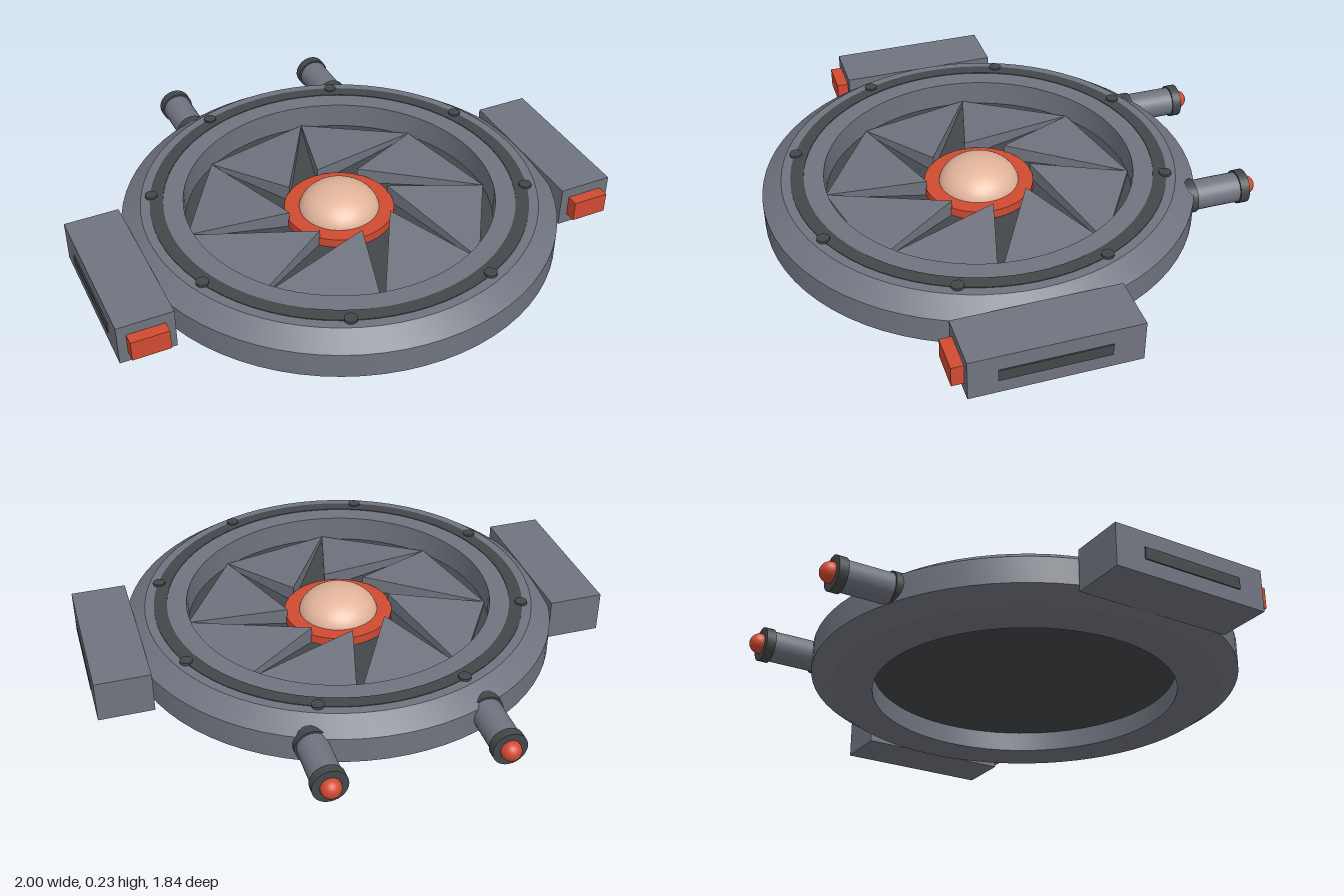
import * as THREE from 'three';
import { toCreasedNormals } from 'three/addons/utils/BufferGeometryUtils.js';

const material = (name, color) => {
  const m = new THREE.MeshStandardMaterial({ color });
  m.name = name;
  return m;
};

export function createModel() {
  const body = material('slate grey', 0x70747f);
  const dark = material('dark trim', 0x43474a);
  const red = material('signal red', 0xd04a32);
  const peach = material('peach lens', 0xe2b49b);

  const model = new THREE.Group();
  model.name = 'irisDevice';
  const disc = new THREE.Group();
  disc.name = 'irisDisc';
  disc.position.z = 0.09;
  model.add(disc);

  const add = (parent, name, geometry, mat, x = 0, y = 0, z = 0) => {
    const mesh = new THREE.Mesh(geometry, mat);
    mesh.name = name;
    mesh.position.set(x, y, z);
    parent.add(mesh);
    return mesh;
  };
  const lathe = (points, segments = 72) => toCreasedNormals(
    new THREE.LatheGeometry(points.map(([r, y]) => new THREE.Vector2(r, y)), segments), 0.4);

  // Chamfered outer ring with an open centre
  add(disc, 'outerRing', lathe([
    [0.59, 0], [0.75, 0], [0.825, 0.05], [0.825, 0.15], [0.75, 0.203], [0.59, 0.203], [0.59, 0],
  ]), body);
  add(disc, 'ringBand', lathe([
    [0.665, 0.2], [0.715, 0.2], [0.715, 0.206], [0.665, 0.206], [0.665, 0.2],
  ]), dark);
  add(disc, 'floor', new THREE.CylinderGeometry(0.592, 0.592, 0.02, 72), dark, 0, 0.09, 0);

  // Bolts around the band
  const boltGeometry = new THREE.CylinderGeometry(0.024, 0.024, 0.02, 12);
  for (let i = 0; i < 8; i++) {
    const a = (i + 0.5) * Math.PI / 4;
    add(disc, 'bolt', boltGeometry, dark, 0.71 * Math.cos(a), 0.203, 0.71 * Math.sin(a));
  }

  // Iris blades: wedges rising from the rim to a raised inner tip
  const polar = (degrees, r, y) => {
    const a = THREE.MathUtils.degToRad(degrees);
    return [r * Math.cos(a), y, r * Math.sin(a)];
  };
  const top = [polar(10, 0.588, 0.115), polar(1, 0.205, 0.165), polar(55, 0.588, 0.115)];
  const base = top.map(([x, , z]) => [x, 0.1, z]);
  const corners = [...top];
  for (let i = 0; i < 3; i++) {
    const j = (i + 1) % 3;
    corners.push(base[i], base[j], top[j], base[i], top[j], top[i]);
  }
  const bladeGeometry = new THREE.BufferGeometry();
  bladeGeometry.setAttribute('position', new THREE.Float32BufferAttribute(corners.flat(), 3));
  bladeGeometry.computeVertexNormals();
  for (let i = 0; i < 8; i++) {
    add(disc, 'irisBlade', bladeGeometry, body).rotation.y = i * Math.PI / 4;
  }

  // Central lens in its red collar
  add(disc, 'lensCollar', lathe([
    [0.13, 0.1], [0.21, 0.1], [0.21, 0.135], [0.13, 0.135], [0.13, 0.1],
  ], 48), red);
  const lens = add(disc, 'lens',
    new THREE.SphereGeometry(0.155, 40, 16, 0, Math.PI * 2, 0, Math.PI / 2), peach, 0, 0.12, 0);
  lens.scale.y = 0.68;

  for (const side of [-1, 1]) {
    // Side housing with outer slot and front lamp
    const pod = new THREE.Group();
    pod.name = side > 0 ? 'leftPod' : 'rightPod';
    model.add(pod);
    add(pod, 'housing', new THREE.BoxGeometry(0.21, 0.16, 0.62), body, side * 0.89, 0.1, 0.12);
    add(pod, 'slot', new THREE.BoxGeometry(0.008, 0.045, 0.4), dark, side * 0.996, 0.098, 0.125);
    add(pod, 'lamp', new THREE.BoxGeometry(0.142, 0.08, 0.05), red, side * 0.89, 0.1, 0.45);

    // Rear pipe, pointing backwards
    const pipe = new THREE.Group();
    pipe.name = side > 0 ? 'leftPipe' : 'rightPipe';
    pipe.position.set(side * 0.32, 0.112, 0);
    model.add(pipe);
    const tube = (name, r, z0, z1, mat) => {
      const geometry = new THREE.CylinderGeometry(r, r, z1 - z0, 28).rotateX(Math.PI / 2);
      add(pipe, name, geometry, mat, 0, 0, (z0 + z1) / 2);
    };
    tube('barrel', 0.058, -0.86, -0.6, body);
    tube('baseCollar', 0.065, -0.665, -0.59, dark);
    tube('endCap', 0.065, -0.878, -0.842, dark);
    add(pipe, 'tipLight', new THREE.SphereGeometry(0.038, 24, 16), red, 0, 0, -0.884);
  }
  return model;
}
